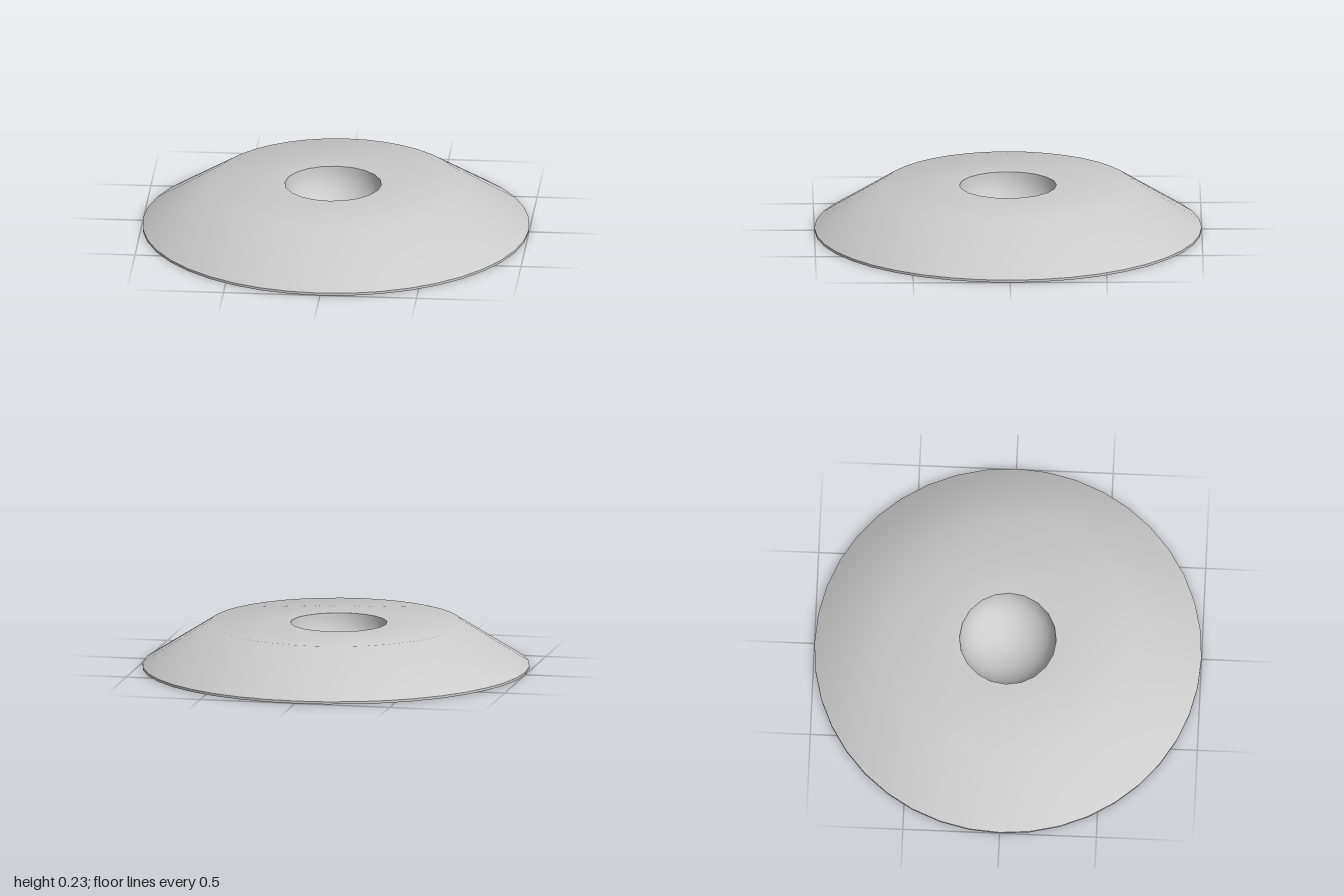
import * as THREE from 'three';

const SIDES = 40;
const OUTER = 1, SHOULDER = 0.65, HOLE = 0.25;
const RIM_Y = 0.013, TOP_Y = 0.235, BOWL_DEPTH = 0.215, HOLE_X = -0.015;

const material = new THREE.MeshStandardMaterial({ color: 0xcccccc });

// Lathe a profile of [radius, height] pairs, listed bottom-outside to top-inside
function lathe(name, profile, sides = SIDES) {
  const points = profile.map(([r, y]) => new THREE.Vector2(r, y));
  const mesh = new THREE.Mesh(new THREE.LatheGeometry(points, sides), material);
  mesh.name = name;
  return mesh;
}

export function createModel() {
  const group = new THREE.Group();
  group.name = 'dishedDisc';

  // Flat underside and thin vertical rim
  group.add(lathe('underside', [[0, 0], [OUTER, 0]]));
  group.add(lathe('rim', [[OUTER, 0], [OUTER, RIM_Y]]));

  // Sloping side blending smoothly into the flat top
  const body = lathe('slopeAndTop', [[OUTER, RIM_Y], [SHOULDER, TOP_Y], [HOLE, TOP_Y]]);
  // The opening has half as many sides and sits slightly off centre
  const pos = body.geometry.attributes.position;
  for (let i = 0; i <= SIDES; i++) {
    const v = i * 3 + 2;
    const scale = i % 2 ? Math.cos((2 * Math.PI) / SIDES) : 1;
    pos.setX(v, pos.getX(v) * scale + HOLE_X);
    pos.setZ(v, pos.getZ(v) * scale);
  }
  group.add(body);

  // Rounded bowl sunk into the top
  const bowlProfile = [];
  for (let i = 0; i <= 10; i++) {
    const a = (i / 10) * Math.PI / 2;
    bowlProfile.push([i === 10 ? 0 : HOLE * Math.cos(a), TOP_Y - BOWL_DEPTH * Math.sin(a)]);
  }
  const bowl = lathe('bowl', bowlProfile, SIDES / 2);
  bowl.position.x = HOLE_X;
  group.add(bowl);

  return group;
}
